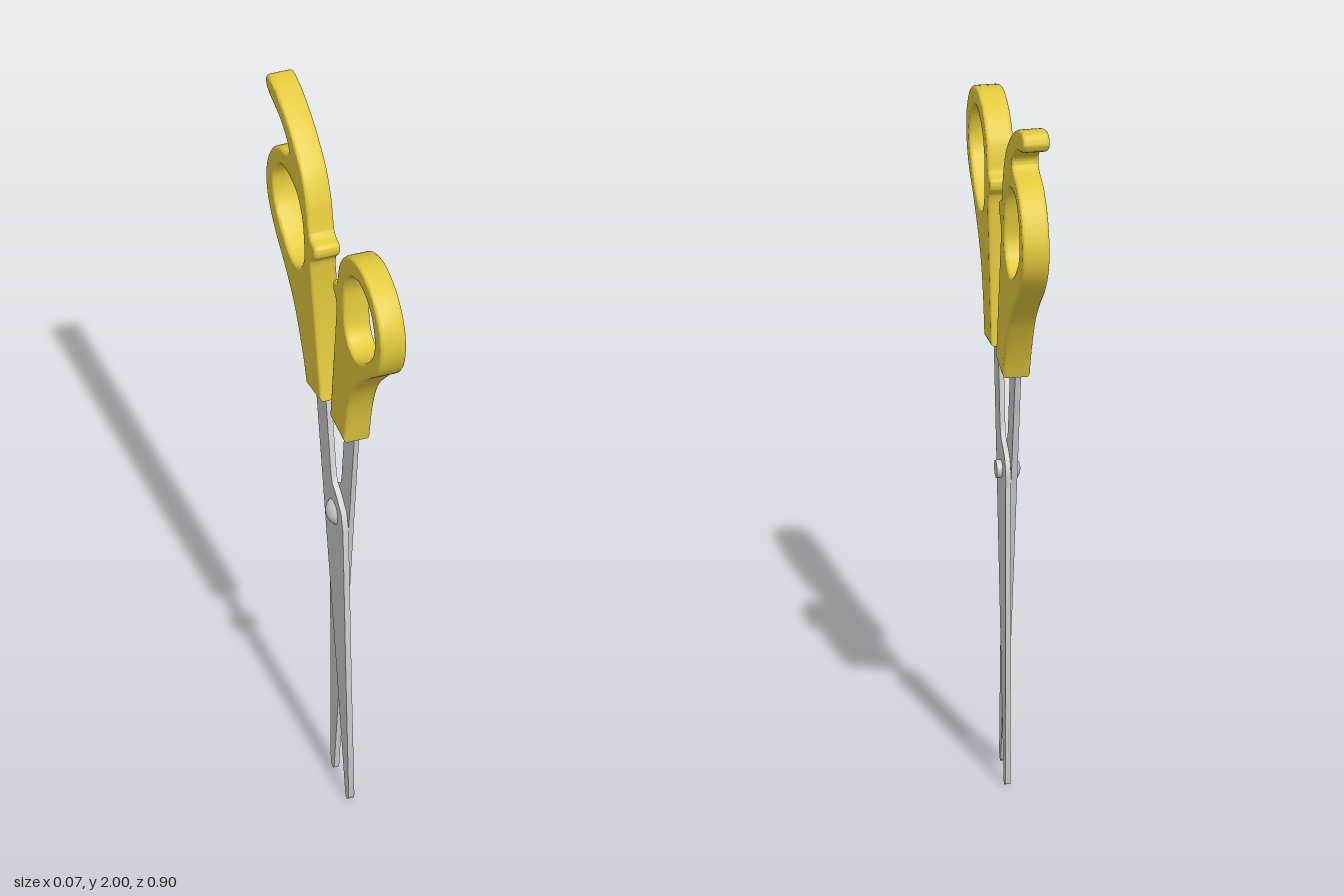
import * as THREE from 'three';
import { toCreasedNormals } from 'three/addons/utils/BufferGeometryUtils.js';

const steel = new THREE.MeshStandardMaterial({ color: 0xcccccc });
const yellow = new THREE.MeshStandardMaterial({ color: 0xe3ca3c });
const vecs = (pts) => pts.map(([u, v]) => new THREE.Vector2(u, v));

// Outlines are drawn in the side plane (u = -z, v = y) and extruded along x from x0 to x1.
function plate(name, shape, x0, x1, bevel, material) {
  const geo = new THREE.ExtrudeGeometry(shape, {
    depth: x1 - x0 - 2 * bevel, curveSegments: 5,
    bevelEnabled: bevel > 0, bevelThickness: bevel, bevelSize: bevel,
    bevelOffset: -bevel, bevelSegments: 3,
  });
  // Smooth the rounded rim but keep the two flat faces flat
  const flat = geo.attributes.normal.clone();
  const smooth = toCreasedNormals(geo, 0.65);
  const caps = geo.groups[0];
  for (let i = caps.start; i < caps.start + caps.count; i++) {
    smooth.attributes.normal.setXYZ(i, flat.getX(i), flat.getY(i), flat.getZ(i));
  }
  smooth.translate(0, 0, x0 + bevel);
  smooth.rotateY(Math.PI / 2);
  const mesh = new THREE.Mesh(smooth, material);
  mesh.name = name;
  return mesh;
}

// Handle: straight socket end, curved ring outline and a finger hole (wound against the outline).
function handle(name, socket, curve, hole) {
  const shape = new THREE.Shape();
  shape.moveTo(...socket[0]);
  shape.lineTo(...socket[1]);
  shape.lineTo(...curve[0]);
  shape.splineThru(vecs(curve.slice(1)));
  shape.closePath();
  const ring = new THREE.Path();
  ring.moveTo(...hole[0]);
  ring.splineThru(vecs([...hole.slice(1), hole[0]]));
  shape.holes.push(ring);
  return plate(name, shape, -0.0365, 0.0365, 0.009, yellow);
}

export function createModel() {
  const group = new THREE.Group();

  // Blades with their tangs, lying side by side
  const frontBlade = new THREE.Shape(vecs([
    [-0.15, 1.25], [-0.1, 0.87], [0.013, 0.006], [0.022, 0], [0.034, 0.005], [0.039, 0.03],
    [0.042, 0.35], [0.045, 0.88], [0.038, 0.91], [0.022, 0.932], [0.004, 0.944],
    [-0.025, 0.957], [-0.038, 0.975], [-0.045, 1.0], [-0.078, 1.25],
  ]));
  const backBlade = new THREE.Shape(vecs([
    [0.037, 1.25], [-0.01, 0.985], [-0.02, 0.965], [-0.05, 0.945], [-0.088, 0.91],
    [-0.102, 0.86], [-0.125, 0.4], [-0.146, 0.028], [-0.14, 0.014], [-0.13, 0.008],
    [-0.121, 0.015], [-0.045, 0.42], [0.043, 0.87], [0.117, 1.25],
  ]));
  group.add(plate('frontBlade', frontBlade, 0, 0.014, 0, steel));
  group.add(plate('backBlade', backBlade, -0.017, -0.001, 0, steel));

  // Round handle
  group.add(handle('roundHandle',
    [[-0.165, 1.202], [-0.051, 1.214]],
    [[-0.1, 1.6], [-0.094, 1.627], [-0.075, 1.65], [-0.077, 1.676], [-0.103, 1.688],
      [-0.114, 1.735], [-0.135, 1.782], [-0.193, 1.835], [-0.283, 1.857], [-0.379, 1.825],
      [-0.437, 1.756], [-0.448, 1.676], [-0.416, 1.597], [-0.331, 1.523],
      [-0.241, 1.427], [-0.193, 1.327], [-0.165, 1.202]],
    [[-0.273, 1.803], [-0.204, 1.772], [-0.167, 1.713], [-0.162, 1.655], [-0.172, 1.581],
      [-0.204, 1.544], [-0.257, 1.539], [-0.32, 1.571], [-0.379, 1.634], [-0.395, 1.692],
      [-0.373, 1.756], [-0.326, 1.793]]));

  // Handle with the curved finger rest
  group.add(handle('fingerRestHandle',
    [[0.131, 1.195], [0.017, 1.21]],
    [[0.095, 1.595], [0.088, 1.62], [0.063, 1.648], [0.066, 1.676], [0.1, 1.69],
      [0.113, 1.724], [0.13, 1.788], [0.172, 1.862], [0.257, 1.936], [0.347, 1.984],
      [0.41, 2.0], [0.437, 1.994], [0.445, 1.968], [0.416, 1.944], [0.336, 1.92],
      [0.28, 1.882], [0.27, 1.855], [0.292, 1.838], [0.352, 1.819], [0.41, 1.766],
      [0.442, 1.687], [0.432, 1.608], [0.379, 1.533], [0.294, 1.459], [0.225, 1.385],
      [0.162, 1.274], [0.131, 1.195]],
    [[0.273, 1.782], [0.209, 1.766], [0.167, 1.713], [0.151, 1.64], [0.151, 1.586],
      [0.183, 1.539], [0.241, 1.525], [0.31, 1.56], [0.368, 1.618], [0.384, 1.676],
      [0.373, 1.724], [0.331, 1.772]]));

  // Pivot: pin on one side, domed head on the other
  const pivot = new THREE.Group();
  pivot.name = 'pivot';
  pivot.position.set(0, 0.877, 0.026);
  const pin = new THREE.Mesh(new THREE.CylinderGeometry(0.024, 0.024, 0.044, 32), steel);
  pin.name = 'pivotPin';
  pin.rotation.z = -Math.PI / 2;
  pin.position.x = 0.007;
  const dome = new THREE.Mesh(
    new THREE.SphereGeometry(0.0424, 32, 10, 0, Math.PI * 2, 0, 1.014), steel);
  dome.name = 'pivotDome';
  dome.rotation.z = Math.PI / 2;
  dome.position.x = 0.0059;
  pivot.add(pin, dome);
  group.add(pivot);

  return group;
}
